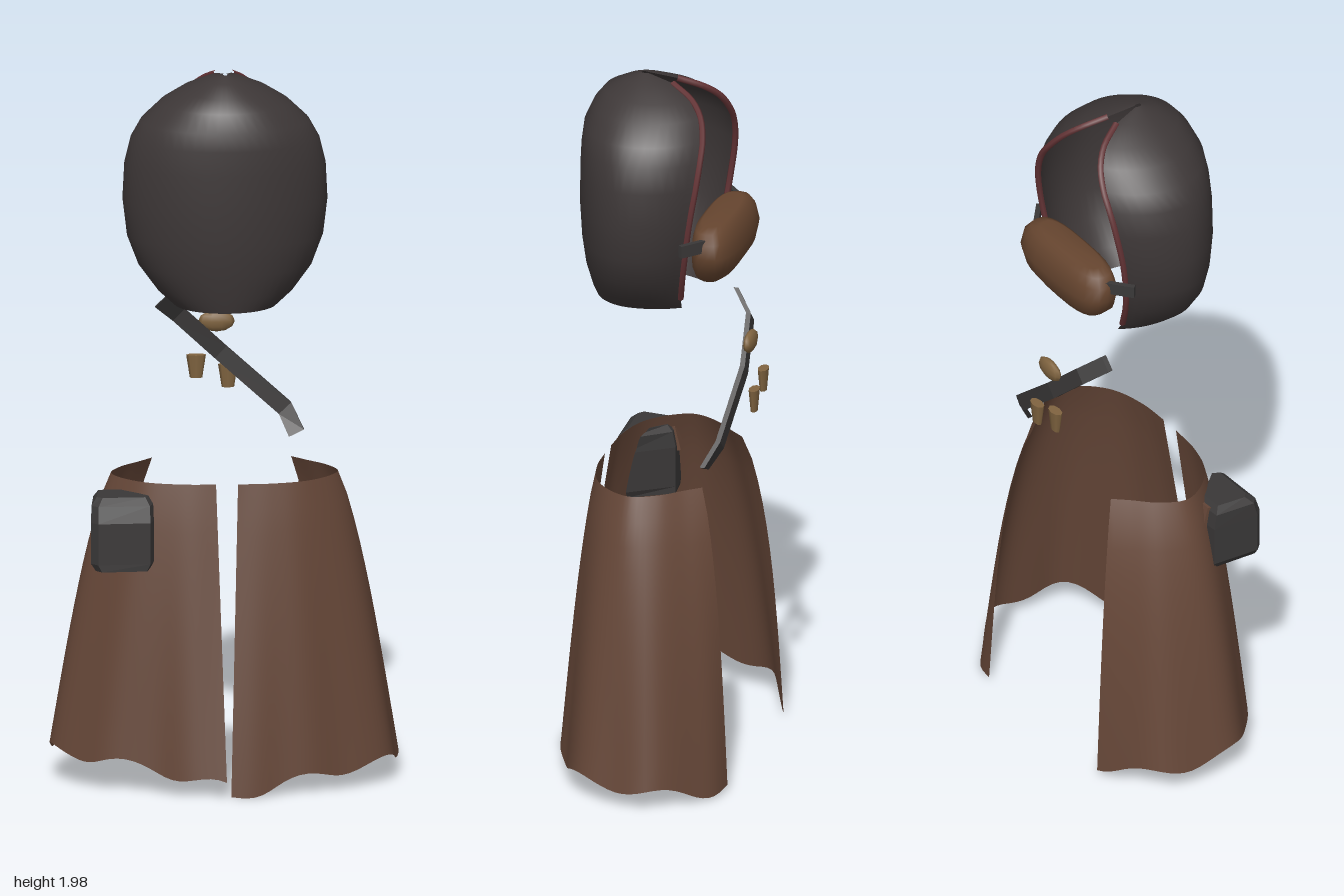
import * as THREE from 'three';
import { mergeVertices } from 'three/addons/utils/BufferGeometryUtils.js';

const mat = (name, color, side = THREE.FrontSide) => {
  const m = new THREE.MeshStandardMaterial({ color, side });
  m.name = name;
  return m;
};
const V = (x, y, z) => new THREE.Vector3(x, y, z);

// Surface from a rule: fn(i, j) gives the point in column i of row j
function grid(nu, nv, fn) {
  const pos = [], idx = [];
  for (let j = 0; j <= nv; j++) for (let i = 0; i <= nu; i++) pos.push(...fn(i, j).toArray());
  for (let j = 0; j < nv; j++) for (let i = 0; i < nu; i++) {
    const a = j * (nu + 1) + i, b = a + nu + 1;
    idx.push(a, b, a + 1, b, b + 1, a + 1);
  }
  let g = new THREE.BufferGeometry();
  g.setAttribute('position', new THREE.Float32BufferAttribute(pos, 3));
  g.setIndex(idx);
  g = mergeVertices(g, 1e-5);
  g.computeVertexNormals();
  return g;
}

// Closed solid through a list of rings, capped at both ends
function loft(rings, flat) {
  const mid = r => r.reduce((s, p) => s.add(p), V(0, 0, 0)).divideScalar(r.length);
  const n = rings[0].length, last = rings.length - 1;
  const cap = r => Array(n).fill(mid(r));
  const rows = [cap(rings[0]), ...rings, cap(rings[last])];
  let g = grid(n, rows.length - 1, (i, j) => rows[j][i % n]);
  if (flat) {
    g = g.toNonIndexed();
    g.computeVertexNormals();
  }
  return g;
}

export function createModel() {
  const group = new THREE.Group();
  const hoodCloth = mat('charcoal cloth', 0x3d3737, THREE.DoubleSide);
  const strapLeather = mat('dark leather', 0x3a3838, THREE.DoubleSide);
  const trimRed = mat('dark red trim', 0x653436);
  const skirtCloth = mat('brown cloth', 0x664738, THREE.DoubleSide);
  const maskCloth = mat('mask brown', 0x66452f);
  const bronze = mat('bronze', 0x806440);
  const add = (name, geo, material, parent = group) => {
    const m = new THREE.Mesh(geo, material);
    m.name = name;
    parent.add(m);
    return m;
  };

  // Hood rows: y, half width, front z, middle z, opening edge x, opening edge z
  const rows = [
    [1.36, .14, .18, .05, .10, -.085], [1.40, .185, .19, .045, .13, -.09],
    [1.47, .237, .203, .04, .165, -.105], [1.55, .268, .212, .03, .19, -.12],
    [1.65, .28, .217, .03, .20, -.135], [1.75, .275, .217, .03, .19, -.15],
    [1.82, .258, .215, .03, .165, -.155], [1.87, .23, .21, .03, .13, -.152],
    [1.92, .177, .188, .03, .09, -.135], [1.955, .12, .16, .03, .055, -.10],
    [1.985, .055, .105, .04, .02, -.035], [2, .006, .06, .05, .003, .04],
  ];
  add('hood', grid(40, rows.length - 1, (i, j) => {
    const [y, w, zf, zc, ex, ez] = rows[j];
    const t = i / 20 - 1, edge = Math.acos(ex / w);
    const a = Math.PI / 2 - Math.abs(t) * (Math.PI / 2 + edge);
    const depth = a > 0 ? zf - zc : (zc - ez) / Math.sin(edge);
    return V(Math.sign(t) * w * Math.cos(a), y, zc + depth * Math.sin(a));
  }), hoodCloth);

  // Red piping along both edges of the opening, and the mask straps
  for (const s of [1, -1]) {
    const side = s > 0 ? 'left' : 'right';
    const path = new THREE.CatmullRomCurve3(rows.slice(1, -1).map(r => V(s * r[4], r[0], r[5])));
    add(side + 'HoodTrim', new THREE.TubeGeometry(path, 36, .009, 6), trimRed);
    const strap = add(side + 'MaskStrap', new THREE.BoxGeometry(.095, .035, .014), strapLeather);
    strap.position.set(s * .195, 1.58, -.15);
    strap.rotation.y = -s * .7;
  }

  // Face mask rows: y, half width, middle z, half depth
  const maskRows = [
    [1.44, .09, -.155, .03], [1.465, .135, -.165, .05], [1.5, .172, -.175, .063], [1.545, .19, -.18, .066],
    [1.585, .185, -.176, .06], [1.61, .165, -.172, .05], [1.62, .13, -.17, .036],
  ];
  add('faceMask', loft(maskRows.map(([y, w, zc, d]) => Array.from({ length: 24 }, (_, i) => {
    const a = i / 24 * Math.PI * 2, c = Math.cos(a), s = Math.sin(a);
    return V(w * Math.sign(c) * Math.abs(c) ** .7, y, zc + d * Math.sign(s) * Math.abs(s) ** .7);
  }))), maskCloth);

  // Diagonal sash: a flat band along a bent path
  const sash = [V(-.165, 1.315, -.165), V(-.115, 1.265, -.215), V(0, 1.155, -.232), V(.175, 1.0, -.215), V(.205, .938, -.18)];
  add('sash', loft(sash.map((p, k) => {
    const t = sash[Math.min(k + 1, 4)].clone().sub(sash[Math.max(k - 1, 0)]).setZ(0).normalize();
    const n = V(-t.y, t.x, 0);
    return [[-1, -1], [1, -1], [1, 1], [-1, 1]].map(([u, v]) =>
      p.clone().addScaledVector(n, u * .023).add(V(0, 0, v * .007)));
  }), true), strapLeather);

  // Bronze ornaments on the sash
  const clasp = add('sashClasp', new THREE.SphereGeometry(1, 10, 6), bronze);
  clasp.scale.set(.05, .03, .016);
  clasp.position.set(-.01, 1.238, -.248);
  for (const [x, y] of [[-.065, 1.107], [.022, 1.08]]) {
    const toggle = add('toggle', new THREE.CylinderGeometry(.027, .017, .064, 8), bronze);
    toggle.scale.z = .55;
    toggle.position.set(x, y, -.268);
  }

  // Skirt halves: waist and hem outlines in x and z, from front edge to back edge
  const curve = pts => new THREE.CatmullRomCurve3(pts.map(([x, z]) => V(x, 0, z)));
  const waist = curve([[.03, .155], [.12, .15], [.22, .12], [.285, .06], [.31, 0], [.28, -.07], [.225, -.13], [.19, -.17]]);
  const hem = curve([[.006, .278], [.1, .262], [.27, .2], [.38, .155], [.46, .06], [.475, -.07], [.42, -.175], [.34, -.235], [.26, -.262]]);
  for (const s of [1, -1]) {
    add(s > 0 ? 'leftSkirt' : 'rightSkirt', grid(44, 12, (i, j) => {
      const u = i / 44, v = j / 12;
      const p = waist.getPointAt(u).lerp(hem.getPointAt(u), v);
      const out = V(p.x, 0, p.z).normalize();
      const inner = Math.sin(Math.PI * Math.min(1, u * 4) / 2);
      const bulge = Math.sin(Math.PI * v ** .65) * (.012 + .022 * u * u);
      const fold = .007 * v * Math.sin(u * 27 + s);
      p.addScaledVector(out, inner * (bulge + fold));
      const low = (s > 0 ? .025 : .055) + .06 * Math.sin(Math.PI * u) + .015 * Math.sin(u * 23 + 2 + s);
      p.y = .875 + (low - .875) * v;
      p.x *= s;
      return p;
    }), skirtCloth);
  }

  // Belt pouch: six-sided outline, drawn in at top and bottom
  const outline = [[-.205, .17], [-.215, .203], [-.35, .21], [-.368, .19], [-.358, .055], [-.285, .048]];
  const pouchRows = [[.645, .86, 1], [.665, 1, 1], [.78, 1, 1], [.825, .98, .86], [.845, .82, .62]];
  add('pouch', loft(pouchRows.map(([y, fx, fz]) =>
    outline.map(([x, z]) => V(-.28 + (x + .28) * fx * 1.06, y, .11 + (z - .11) * fz))), true), strapLeather);
  const loop = add('pouchLoop', new THREE.BoxGeometry(.03, .07, .012), skirtCloth);
  loop.position.set(-.315, .80, .052);
  loop.rotation.x = .25;

  return group;
}
